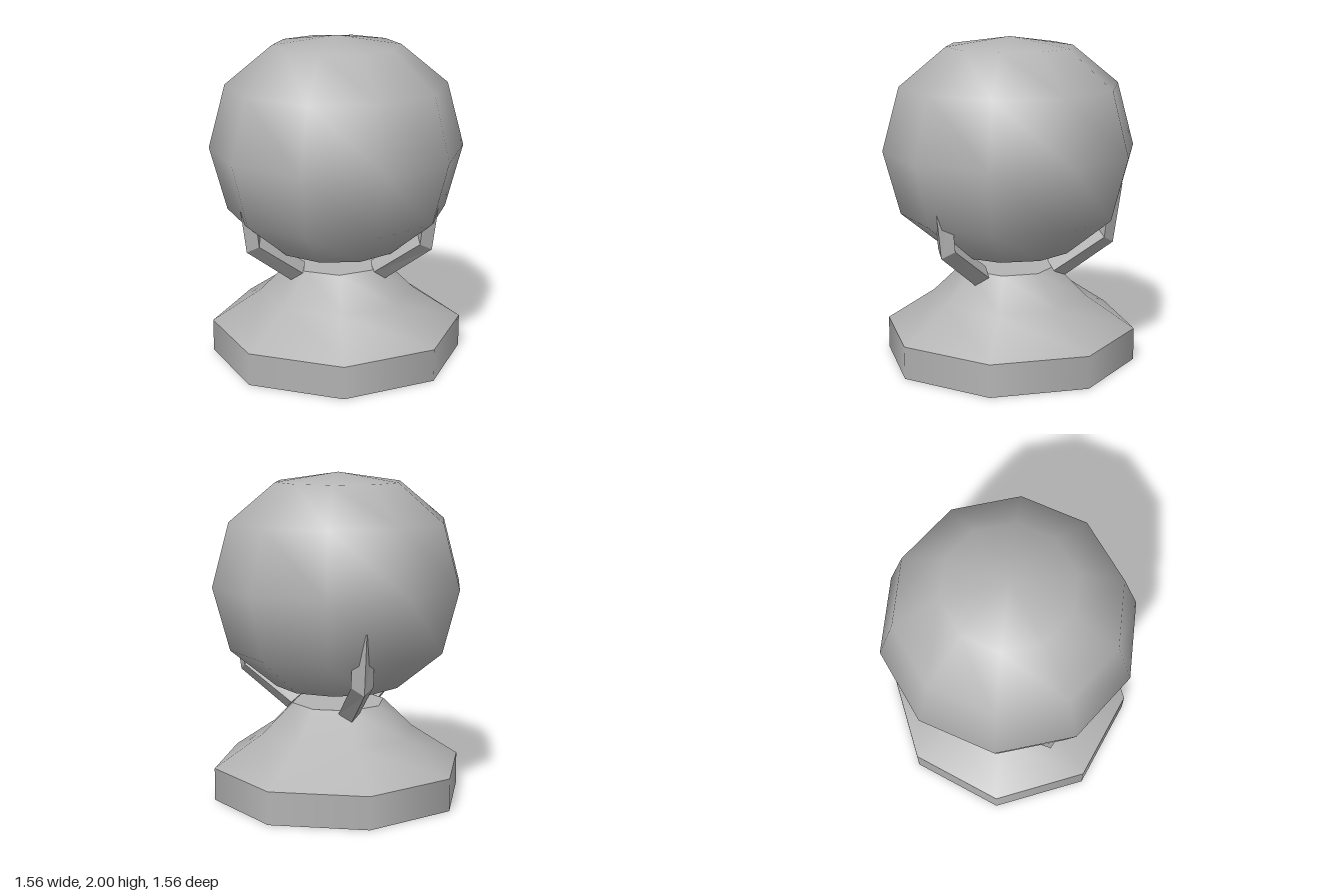
import * as THREE from 'three';

const grey = new THREE.MeshStandardMaterial({ color: 0xb4b4b4 });
grey.name = 'grey';

function add(parent, name, geometry) {
  const mesh = new THREE.Mesh(geometry, grey);
  mesh.name = name;
  parent.add(mesh);
  return mesh;
}

// Ten-sided ball with slightly flattened poles
function ballGeometry() {
  const radius = 0.777;
  const geo = new THREE.SphereGeometry(radius, 10, 6);
  const pos = geo.attributes.position;
  for (let i = 0; i < pos.count; i++) {
    const y = pos.getY(i), h = Math.abs(y);
    const squashed = h > 0.75 ? 0.68 : h > 0.6 ? 0.622 : h;
    pos.setY(i, Math.sign(y) * squashed);
  }
  return geo;
}

// Bent claw with a diamond cross-section, leaning out along +z
function clawGeometry() {
  const halfWidth = 0.067;
  // Each section: [outer r, y], [side r, y], [inner r, y]
  const sections = [
    [[0.335, 0.52], [0.285, 0.57], [0.235, 0.62]],
    [[0.64, 0.752], [0.592, 0.795], [0.545, 0.838]],
    [[0.692, 1.12], [0.63, 1.11], [0.57, 1.1]],
  ];
  const points = [], index = [];
  for (const [outer, side, inner] of sections) {
    points.push(0, outer[1], outer[0], halfWidth, side[1], side[0]);
    points.push(0, inner[1], inner[0], -halfWidth, side[1], side[0]);
  }
  for (let s = 0; s < sections.length - 1; s++) {
    for (let k = 0; k < 4; k++) {
      const a = s * 4 + k, b = s * 4 + (k + 1) % 4;
      index.push(a, b, b + 4, a, b + 4, a + 4);
    }
  }
  const t = (sections.length - 1) * 4;
  index.push(0, 2, 1, 0, 3, 2, t, t + 1, t + 2, t, t + 2, t + 3);
  const geo = new THREE.BufferGeometry();
  geo.setAttribute('position', new THREE.Float32BufferAttribute(points, 3));
  geo.setIndex(index);
  const flat = geo.toNonIndexed();
  flat.computeVertexNormals();
  return flat;
}

export function createModel() {
  const model = new THREE.Group();
  model.name = 'ballOnStand';

  // Octagonal stand: plinth, sloping shoulder and flat top
  const stand = new THREE.Group();
  stand.name = 'stand';
  model.add(stand);
  add(stand, 'plinth', new THREE.CylinderGeometry(0.78, 0.78, 0.2, 8)).position.y = 0.1;
  const profile = [[0.78, 0.2], [0.48, 0.4], [0.29, 0.587]].map(([x, y]) => new THREE.Vector2(x, y));
  add(stand, 'shoulder', new THREE.LatheGeometry(profile, 8));
  const top = add(stand, 'standTop', new THREE.CircleGeometry(0.29, 8));
  top.rotation.x = -Math.PI / 2;
  top.position.y = 0.587;

  // Three claws hold the ball: one behind, two in front
  const claw = clawGeometry();
  const angles = { backClaw: Math.PI, leftClaw: Math.PI / 3, rightClaw: -Math.PI / 3 };
  for (const [name, angle] of Object.entries(angles)) add(model, name, claw).rotation.y = angle;

  add(model, 'ball', ballGeometry()).position.y = 1.32;
  return model;
}
